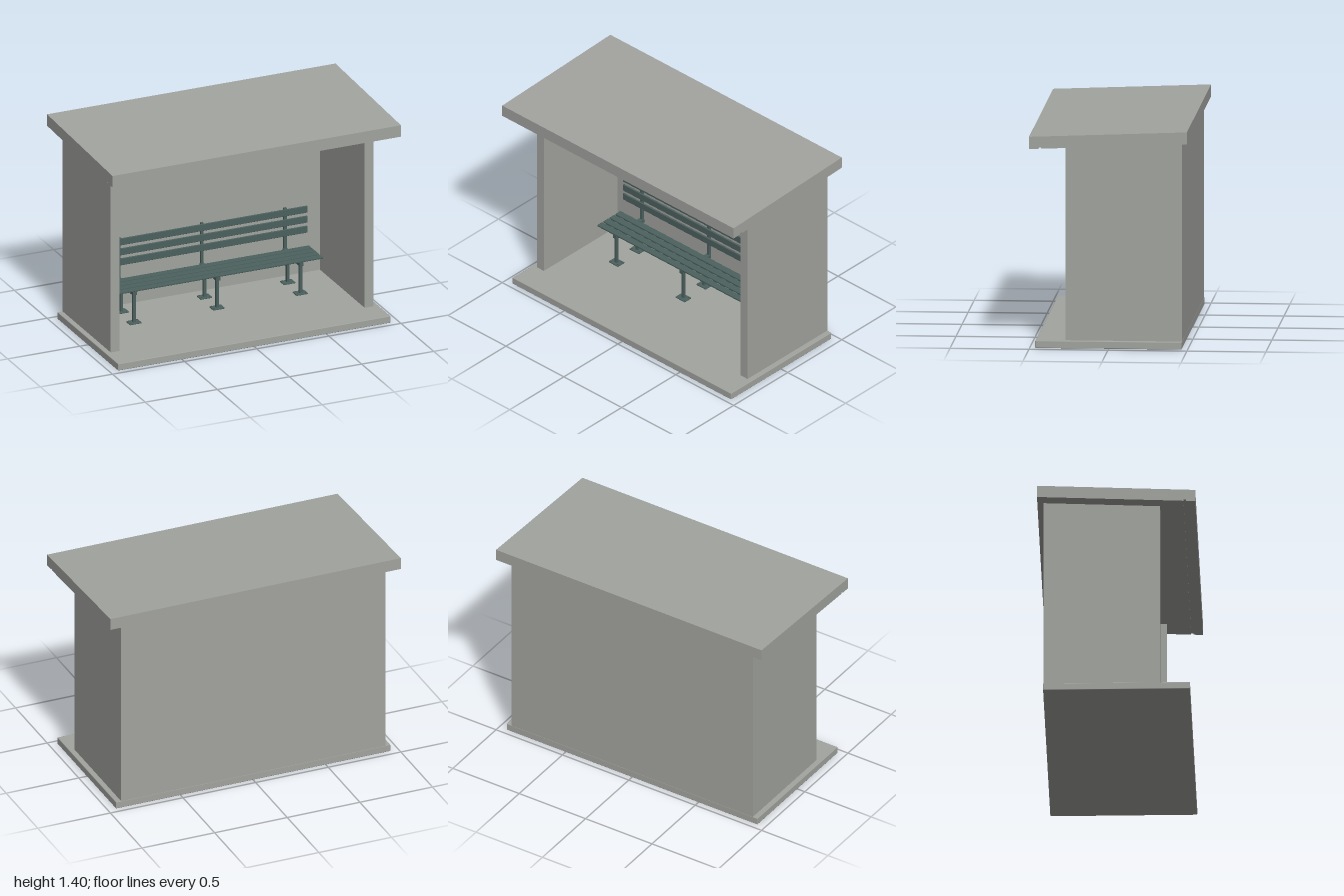
import * as THREE from 'three';
import { RoundedBoxGeometry } from 'three/addons/geometries/RoundedBoxGeometry.js';

const concrete = new THREE.MeshStandardMaterial({ color: 0xa2a49f });
concrete.name = 'concrete grey';
const paint = new THREE.MeshStandardMaterial({ color: 0x4c615e });
paint.name = 'bench green';

const FLOOR = 0.05;
const roofUnder = (z) => 1.302 - 0.04 * z; // sloping underside of the roof

function add(parent, name, geometry, material, x = 0, y = 0, z = 0) {
  const mesh = new THREE.Mesh(geometry, material);
  mesh.name = name;
  mesh.position.set(x, y, z);
  parent.add(mesh);
  return mesh;
}

// Soft-edged block given by its limits on each axis
function block(parent, name, material, [x0, x1], [y0, y1], [z0, z1], r) {
  const geometry = new RoundedBoxGeometry(x1 - x0, y1 - y0, z1 - z0, 1, r);
  return add(parent, name, geometry, material, (x0 + x1) / 2, (y0 + y1) / 2, (z0 + z1) / 2);
}

function polygon(points) {
  return new THREE.Shape(points.map(([a, b]) => new THREE.Vector2(a, b)));
}

// U-shaped walls, with the top edge cut to the roof slope
function wallGeometry() {
  const plan = polygon([
    [-0.91, -0.275], [-0.85, -0.275], [-0.85, 0.407], [0.85, 0.407],
    [0.85, -0.275], [0.91, -0.275], [0.91, 0.462], [-0.91, 0.462],
  ]);
  const g = new THREE.ExtrudeGeometry(plan, { depth: 1, bevelEnabled: false });
  g.rotateX(-Math.PI / 2);
  const p = g.attributes.position;
  for (let i = 0; i < p.count; i++) {
    p.setY(i, p.getY(i) > 0.5 ? roofUnder(p.getZ(i)) + 0.002 : FLOOR - 0.002);
  }
  g.computeVertexNormals();
  return g;
}

// Sloping roof slab with a drip groove beneath the front edge
function roofGeometry() {
  const side = polygon([
    [0.5, roofUnder(0.5)], [0.5, 1.36], [-0.5, 1.4], [-0.5, roofUnder(-0.5)],
    [0.425, roofUnder(0.425)], [0.425, roofUnder(0.425) + 0.008],
    [0.44, roofUnder(0.44) + 0.008], [0.44, roofUnder(0.44)],
  ]);
  const g = new THREE.ExtrudeGeometry(side, { depth: 2, bevelEnabled: false });
  g.translate(0, 0, -1);
  g.rotateY(-Math.PI / 2);
  return g;
}

function createBench() {
  const bench = new THREE.Group();
  bench.name = 'bench';
  const long = [-0.725, 0.725];

  // Seat slats
  for (let i = 0; i < 4; i++) {
    const z = -0.085 - i * 0.056;
    block(bench, 'seatSlat', paint, long, [0.269, 0.281], [z - 0.046, z], 0.003);
  }
  // Backrest slats
  for (let i = 0; i < 3; i++) {
    const y = 0.358 + i * 0.0685;
    block(bench, 'backSlat', paint, long, [y, y + 0.046], [-0.332, -0.32], 0.003);
  }

  // Three supports: rail, back post, two legs with bolted feet
  const bolt = new THREE.CylinderGeometry(0.004, 0.004, 0.005, 8);
  for (const x of [-0.577, 0, 0.577]) {
    const support = new THREE.Group();
    support.name = 'benchSupport';
    support.position.x = x;
    bench.add(support);
    block(support, 'seatRail', paint, [-0.015, 0.015], [0.244, 0.27], [-0.346, -0.086], 0.002);
    block(support, 'backPost', paint, [-0.01, 0.01], [0.246, 0.547], [-0.35, -0.331], 0.002);
    for (const z of [-0.105, -0.298]) {
      block(support, 'leg', paint, [-0.01, 0.01], [FLOOR, 0.248], [z - 0.01, z + 0.01], 0.002);
      block(support, 'footPlate', paint, [-0.04, 0.04], [FLOOR, 0.058], [z - 0.03, z + 0.03], 0.002);
      for (const dx of [-0.028, 0.028]) {
        for (const dz of [-0.019, 0.019]) add(support, 'bolt', bolt, paint, dx, 0.06, z + dz);
      }
    }
  }
  return bench;
}

export function createModel() {
  const shelter = new THREE.Group();
  shelter.name = 'shelter';
  block(shelter, 'floorSlab', concrete, [-0.945, 0.945], [0.003, FLOOR], [-0.463, 0.465], 0.004);
  add(shelter, 'walls', wallGeometry(), concrete);
  add(shelter, 'roof', roofGeometry(), concrete);
  shelter.add(createBench());
  return shelter;
}
